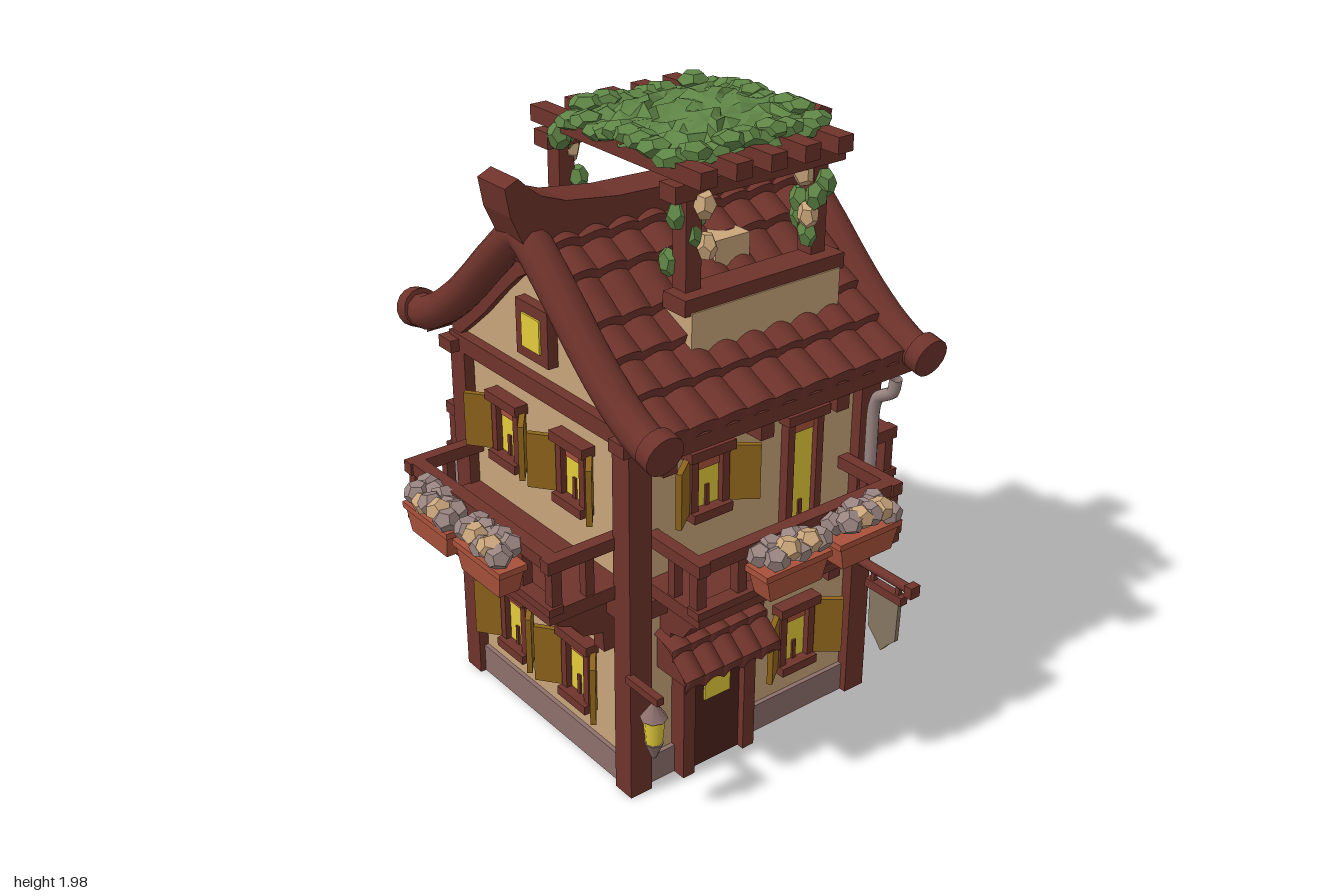
import * as THREE from 'three';
import { toCreasedNormals } from 'three/addons/utils/BufferGeometryUtils.js';

const M = {};
const colours = {
  wood: 0x6e332b, plaster: 0xc9a57a, ochre: 0x8f651c, glow: 0xe3cb3a, leaf: 0x5f8546,
  terracotta: 0xa8513a, stone: 0x8d706c, blossom: 0x998480, darkWood: 0x4d231d, cloth: 0x857660,
};
for (const [name, color] of Object.entries(colours)) {
  M[name] = new THREE.MeshStandardMaterial({ color, side: THREE.DoubleSide });
  M[name].name = name;
}

let seed = 7;
const rand = (a, b) => {
  seed = (seed * 16807) % 2147483647;
  return a + (b - a) * (seed / 2147483647);
};

function add(parent, name, geo, mat, x = 0, y = 0, z = 0) {
  const m = new THREE.Mesh(geo, M[mat]);
  m.name = name;
  m.position.set(x, y, z);
  parent.add(m);
  return m;
}
const box = (p, name, mat, w, h, d, x, y, z) => add(p, name, new THREE.BoxGeometry(w, h, d), mat, x, y, z);
const group = (p, name, x = 0, y = 0, z = 0) => {
  const g = new THREE.Group();
  g.name = name;
  g.position.set(x, y, z);
  p.add(g);
  return g;
};
const tube = (p, name, mat, pts, r) => add(p, name,
  new THREE.TubeGeometry(new THREE.CatmullRomCurve3(pts.map(q => new THREE.Vector3(...q)), false, 'catmullrom', 0.3), 32, r, 10), mat);

// Outline given as [z, y], extruded along x and centred
function sideExtrude(pts, width) {
  const g = new THREE.ExtrudeGeometry(new THREE.Shape(pts.map(q => new THREE.Vector2(...q))), { depth: width, bevelEnabled: false });
  return g.translate(0, 0, -width / 2).rotateY(-Math.PI / 2);
}

// Rows of rounded, overlapping tiles running down a [z, y] curve
function tiles(width, profile, rows, cols, lift) {
  const curve = new THREE.SplineCurve(profile.map(q => new THREE.Vector2(...q)));
  const nu = cols * 6, pos = [], idx = [];
  for (let r = 0; r < rows; r++) {
    for (const [t, h] of [[r / rows, 0], [(r + 1) / rows, lift], [(r + 1) / rows, -lift * 0.6]]) {
      const p = curve.getPoint(t);
      for (let i = 0; i <= nu; i++) {
        const bump = Math.abs(Math.sin(Math.PI * i * cols / nu));
        pos.push((i / nu - 0.5) * width, p.y + h + (bump - 0.6) * lift * 0.7, p.x + (h > 0 ? bump * lift * 0.7 : 0));
      }
    }
  }
  for (let v = 0; v < rows * 3 - 1; v++) for (let i = 0; i < nu; i++) {
    const a = v * (nu + 1) + i, c = a + nu + 1;
    idx.push(a, c, a + 1, a + 1, c, c + 1);
  }
  const g = new THREE.BufferGeometry();
  g.setAttribute('position', new THREE.Float32BufferAttribute(pos, 3));
  g.setIndex(idx);
  return toCreasedNormals(g, 0.7);
}

// Faceted irregular lump
function clump(p, name, mat, x, y, z, sx, sy, sz) {
  const m = add(p, name, new THREE.DodecahedronGeometry(1, 0), mat, x, y, z);
  m.geometry.rotateX(rand(0, 3)).rotateY(rand(0, 3)).scale(sx, sy, sz);
  m.geometry.computeVertexNormals();
}

function windowUnit(face, u, y, h = 0.19, shutters = true) {
  const g = group(face, 'window', u, y, 0);
  box(g, 'pane', 'glow', 0.11, h, 0.008, 0, 0, 0.008);
  box(g, 'blind', 'terracotta', 0.11, 0.045, 0.006, 0, h / 2 - 0.035, 0.012);
  box(g, 'lintel', 'wood', 0.165, 0.032, 0.05, 0, h / 2 + 0.005, 0.022);
  box(g, 'sill', 'wood', 0.145, 0.03, 0.055, 0, -h / 2 - 0.005, 0.022);
  box(g, 'mullion', 'wood', 0.014, 0.075, 0.014, 0, -h / 2 + 0.04, 0.012);
  for (const s of [-1, 1]) {
    box(g, 'jamb', 'wood', 0.026, h, 0.035, s * 0.058, 0, 0.015);
    if (!shutters) continue;
    const hinge = group(g, 'shutterHinge', s * 0.07, 0, 0.012);
    hinge.rotation.y = -s * 0.65;
    box(hinge, 'shutter', 'ochre', 0.105, h - 0.01, 0.018, s * 0.052, 0, 0);
  }
}

function flowerBox(p, u, z) {
  const g = group(p, 'flowerBox', u, 0.775, z);
  const pot = add(g, 'pot', new THREE.CylinderGeometry(0.7071, 0.58, 1, 4).rotateY(Math.PI / 4).toNonIndexed(), 'terracotta');
  pot.geometry.computeVertexNormals();
  pot.scale.set(0.24, 0.09, 0.085);
  box(g, 'potRim', 'terracotta', 0.25, 0.02, 0.095, 0, 0.04, 0);
  for (let i = 0; i < 10; i++)
    clump(g, 'flowers', i % 4 === 3 ? 'plaster' : 'blossom', -0.09 + 0.02 * i, 0.075 + rand(0, 0.03),
      (i % 2 - 0.5) * 0.05, 0.043, 0.038, 0.042);
}

function balcony(face, half, depth, boxes) {
  const g = group(face, 'balcony');
  box(g, 'floor', 'wood', half * 2, 0.045, depth, 0, 0.705, depth / 2);
  box(g, 'floorEdge', 'wood', half * 2 + 0.01, 0.025, 0.05, 0, 0.725, depth - 0.022);
  box(g, 'handrail', 'wood', half * 2, 0.04, 0.045, 0, 0.868, depth - 0.03);
  for (let i = 0; i < 6; i++)
    box(g, 'baluster', 'wood', 0.034, 0.14, 0.034, (i / 5 * 2 - 1) * (half - 0.02), 0.79, depth - 0.03);
  for (const s of [-1, 1]) {
    box(g, 'sideRail', 'wood', 0.04, 0.04, depth, s * (half - 0.02), 0.868, depth / 2);
    box(g, 'sideBaluster', 'wood', 0.03, 0.14, 0.03, s * (half - 0.02), 0.79, depth * 0.45);
  }
  const d = depth;
  const corbel = [[0, 0.48], [0.045, 0.48], [0.05, 0.55], [d * 0.45, 0.565], [d * 0.6, 0.615], [d - 0.06, 0.635], [d - 0.04, 0.685], [0, 0.685]];
  for (const u of [-0.32, 0, 0.32]) add(g, 'corbel', sideExtrude(corbel, 0.05), 'wood', u);
  for (const u of boxes) flowerBox(g, u, depth + 0.035);
}

export function createModel() {
  const root = new THREE.Group();
  root.name = 'house';
  const house = group(root, 'building', 0.055, 0, 0);

  // Walls and timber frame
  const roof = [[0, 1.71], [0.08, 1.66], [0.16, 1.59], [0.27, 1.485], [0.36, 1.41], [0.455, 1.335], [0.57, 1.255]];
  const both = (pts, dy) => [...pts.slice(1).reverse().map(([z, y]) => [-z, y + dy]), ...pts.map(([z, y]) => [z, y + dy])];
  const inner = [...roof.slice(0, 5), [0.42, 1.355]];
  add(house, 'walls', sideExtrude([[-0.42, 0.05], ...both(inner, -0.05), [0.42, 0.05]], 0.9), 'plaster');
  box(house, 'plinth', 'stone', 0.93, 0.1, 0.87, 0, 0.05, 0);
  for (const sx of [-1, 1]) for (const sz of [-1, 1])
    box(house, 'cornerPost', 'wood', 0.08, 1.2, 0.078, sx * 0.445, 0.6, sz * 0.419);
  for (const s of [-1, 1]) {
    box(house, 'eaveBeam', 'wood', 1.03, 0.04, 0.07, 0, 1.205, s * 0.44);
    box(house, 'gableBeam', 'wood', 0.06, 0.055, 0.92, s * 0.455, 1.213, 0);
  }

  // Roof slab, gable trim, tiles, rakes and ridge
  const band = (pts, a, b) => [...both(pts, a), ...both(pts, b).reverse()];
  add(house, 'roofSlab', sideExtrude(band(roof, -0.015, -0.06), 1.0), 'wood');
  add(house, 'gableTrim', sideExtrude(band(roof.slice(0, 6), -0.03, -0.13), 0.95), 'wood');
  for (const turn of [0, Math.PI])
    add(house, 'roofTiles', tiles(0.93, roof, 6, 9, 0.026), 'wood').rotation.y = turn;
  const rake = [[0, 1.7], [0.16, 1.575], [0.27, 1.47], [0.36, 1.39], [0.455, 1.32], [0.55, 1.27], [0.61, 1.26]];
  for (const s of [-1, 1]) {
    tube(house, 'rake', 'wood', both(rake, 0).map(([z, y]) => [s * 0.5, y, z]), 0.056);
    for (const e of [-1, 1]) {
      const cap = add(house, 'rakeEnd', new THREE.CylinderGeometry(0.063, 0.063, 0.05, 16), 'wood', s * 0.5, 1.265, e * 0.615);
      cap.rotation.x = e * 1.8;
    }
  }
  const rh = [[0, 1.757], [0.22, 1.765], [0.4, 1.79], [0.48, 1.82], [0.53, 1.86], [0.555, 1.885], [0.6, 1.865], [0.585, 1.78], [0.54, 1.68], [0.5, 1.6]];
  add(house, 'ridge', sideExtrude(both(rh, 0), 0.135), 'wood').rotation.y = Math.PI / 2;

  // Dormer parapets with pergola
  const terrace = group(house, 'terrace', 0.065, 0, 0.015);
  for (const s of [-1, 1]) {
    box(terrace, 'dormerWall', 'plaster', 0.56, 0.17, 0.14, 0, 1.425, s * 0.31);
    box(terrace, 'parapetRail', 'wood', 0.6, 0.05, 0.1, 0, 1.527, s * 0.325);
    box(terrace, 'pergolaBeam', 'wood', 0.63, 0.05, 0.07, 0.01, 1.845, s * 0.3);
    for (const u of [-0.235, 0.235]) {
      box(terrace, 'pergolaPost', 'wood', 0.055, 0.32, 0.06, u, 1.69, s * 0.3);
      for (let i = 0; i < 9; i++)
        clump(terrace, 'hangingVine', i % 4 === 2 ? 'plaster' : 'leaf', u * 0.97 + rand(-0.04, 0.04), 1.86 - i * 0.03,
          s * 0.3 + rand(-0.05, 0.05), 0.04 - i * 0.0018, 0.045, 0.036);
    }
  }
  box(terrace, 'roofHatch', 'plaster', 0.13, 0.16, 0.42, 0.01, 1.54, 0);
  for (let i = 0; i < 5; i++) box(terrace, 'rafter', 'wood', 0.058, 0.05, 0.8, -0.25 + i * 0.125, 1.9, 0.01);

  // Leafy canopy: rippled sheet with ragged edge and lumps
  const sheet = new THREE.PlaneGeometry(0.58, 0.54, 14, 14).rotateX(-Math.PI / 2);
  const sp = sheet.attributes.position;
  for (let i = 0; i < sp.count; i++) {
    const x = sp.getX(i), z = sp.getZ(i), edge = Math.max(Math.abs(x) / 0.29, Math.abs(z) / 0.27);
    sp.setXYZ(i, x + rand(-0.018, 0.018), 1.968 + rand(-0.016, 0.016) - 0.05 * edge ** 4, z + rand(-0.018, 0.018));
  }
  const canopy = sheet.toNonIndexed();
  canopy.computeVertexNormals();
  add(terrace, 'canopy', canopy, 'leaf', 0, 0, 0.03);
  for (let i = 0; i < 34; i++) {
    const a = i / 34 * Math.PI * 2, k = Math.max(Math.abs(Math.cos(a)), Math.abs(Math.sin(a)));
    clump(terrace, 'canopyLeaves', 'leaf', Math.cos(a) / k * 0.265, rand(1.92, 1.955), 0.035 + Math.sin(a) / k * 0.25, 0.055, 0.03, 0.05);
  }

  // Four facades: [name, turn, x, z, window offset, balcony half width, depth, flower boxes]
  const facades = [
    ['front', 0, 0, 0.42, 0.185, 0.395, 0.24, [-0.0925, 0.19]],
    ['back', Math.PI, 0, -0.42, 0.185, 0.395, 0.24, [0.0925, -0.19]],
    ['leftSide', Math.PI / 2, 0.45, 0, 0.17, 0.388, 0.195, [0]],
    ['rightSide', -Math.PI / 2, -0.45, 0, 0.17, 0.388, 0.265, [-0.14, 0.14]],
  ];
  for (const [name, turn, x, z, off, half, depth, boxes] of facades) {
    const f = group(house, name + 'Facade', x, 0, z);
    f.rotation.y = turn;
    const gable = name.endsWith('Side');
    box(f, 'floorBeam', 'wood', 0.84, 0.06, 0.05, 0, 0.645, 0.01);
    balcony(f, half, depth, boxes);
    for (const s of [-1, 1]) {
      const isDoor = !gable && s === (name === 'front' ? 1 : -1);
      windowUnit(f, s * off, isDoor ? 0.91 : 1.0, isDoor ? 0.37 : 0.19, !isDoor || name === 'back');
      if (name !== 'front' || s > 0) windowUnit(f, s * off, 0.315, 0.21);
    }
    if (gable) {
      box(f, 'atticFrame', 'wood', 0.16, 0.175, 0.05, 0, 1.388, 0.01);
      box(f, 'atticPane', 'glow', 0.09, 0.105, 0.008, 0, 1.388, 0.037);
    } else for (const u of [-0.36, 0, 0.3])
      box(f, 'eaveCorbel', 'wood', 0.05, 0.1, 0.07, u, 1.14, 0.03);
  }

  // Front door and tiled awning
  const door = group(house, 'entrance', -0.157, 0, 0.42);
  box(door, 'doorPanel', 'darkWood', 0.21, 0.42, 0.03, 0, 0.21, 0.02);
  box(door, 'doorPane', 'glow', 0.1, 0.11, 0.008, 0.005, 0.295, 0.038);
  box(door, 'doorLintel', 'wood', 0.28, 0.05, 0.07, 0, 0.405, 0.03);
  for (const s of [-1, 1]) {
    box(door, 'doorPost', 'wood', 0.045, 0.4, 0.06, s * 0.12, 0.2, 0.03);
    box(door, 'awningBrace', 'wood', 0.035, 0.04, 0.14, s * 0.14, 0.415, 0.07);
  }
  add(door, 'awningTiles', tiles(0.37, [[0, 0.54], [0.06, 0.515], [0.11, 0.475], [0.15, 0.42]], 2, 5, 0.025), 'wood', -0.025);
  add(door, 'awningCore', sideExtrude([[0, 0.52], [0.06, 0.495], [0.11, 0.455], [0.14, 0.41], [0, 0.41]], 0.35), 'wood', -0.025);

  // Lantern on the front corner
  const lantern = group(house, 'lantern', -0.485, 0, 0.57);
  box(lantern, 'lanternArm', 'wood', 0.025, 0.025, 0.15, 0, 0.44, -0.045);
  add(lantern, 'lanternCap', new THREE.ConeGeometry(0.042, 0.06, 8), 'stone', 0, 0.4, 0);
  add(lantern, 'lanternGlass', new THREE.CylinderGeometry(0.034, 0.026, 0.09, 8), 'glow', 0, 0.328, 0);
  add(lantern, 'lanternBase', new THREE.CylinderGeometry(0.03, 0.008, 0.055, 8), 'stone', 0, 0.255, 0);

  // Hanging banner on the other front corner
  const banner = group(house, 'banner', 0.445, 0, 0);
  tube(banner, 'bannerArm', 'wood', [[0, 0.495, 0.45], [0, 0.495, 0.58], [0, 0.495, 0.68]], 0.016);
  box(banner, 'armKnob', 'wood', 0.04, 0.04, 0.03, 0, 0.495, 0.685);
  box(banner, 'bannerRod', 'wood', 0.03, 0.03, 0.16, 0, 0.44, 0.575);
  for (const z of [0.52, 0.63]) box(banner, 'bannerTie', 'wood', 0.015, 0.06, 0.015, 0, 0.465, z);
  add(banner, 'bannerCloth', sideExtrude([[0.51, 0.44], [0.64, 0.44], [0.635, 0.28], [0.6, 0.245], [0.575, 0.215], [0.55, 0.245], [0.515, 0.28]], 0.015), 'cloth');

  // Downspout, and water tank with pipes at the back
  tube(house, 'downspout', 'blossom', [[0.43, 1.19, 0.57], [0.43, 1.14, 0.56], [0.43, 1.1, 0.5], [0.43, 1.04, 0.485], [0.43, 0.82, 0.485]], 0.02);
  const tank = group(house, 'waterTank', -0.345, 0, 0);
  add(tank, 'tankBody', new THREE.CylinderGeometry(0.056, 0.056, 0.2, 14), 'cloth', 0, 0.33, -0.55);
  add(tank, 'tankLid', new THREE.CylinderGeometry(0.07, 0.07, 0.03, 14), 'wood', 0, 0.44, -0.55);
  tube(tank, 'upperPipe', 'blossom', [[0, 0.65, -0.43], [0, 0.65, -0.64], [0, 0.63, -0.68], [0, 0.52, -0.68], [0, 0.49, -0.66], [0, 0.485, -0.56], [0, 0.44, -0.55]], 0.02);
  tube(tank, 'drainPipe', 'blossom', [[0, 0.24, -0.52], [0, 0.17, -0.515], [0, 0.135, -0.55], [0, 0.135, -0.6], [0, 0.19, -0.615]], 0.022);
  return root;
}
